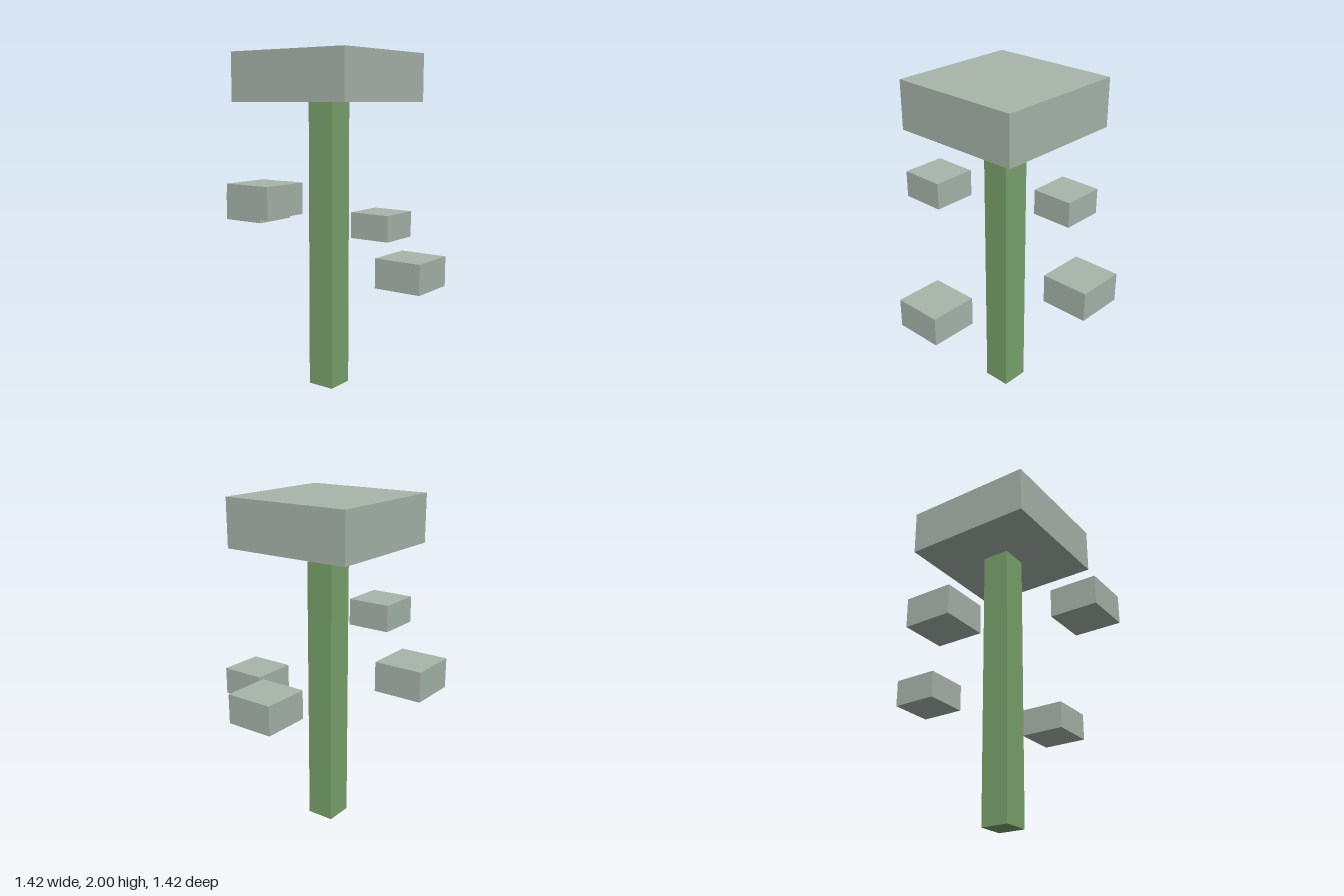
import * as THREE from 'three';

export function createModel() {
  const model = new THREE.Group();
  const green = new THREE.MeshStandardMaterial({ color: 0x7ba36d });
  const greyGreen = new THREE.MeshStandardMaterial({ color: 0xa8b5ab });

  // Box standing on height y, centred on x and z
  function addBox(name, material, width, height, x, y, z) {
    const mesh = new THREE.Mesh(new THREE.BoxGeometry(width, height, width), material);
    mesh.name = name;
    mesh.position.set(x, y + height / 2, z);
    model.add(mesh);
  }

  // Square trunk and the wide slab on top
  addBox('trunk', green, 0.17, 1.715, 0, 0, 0);
  addBox('crown', greyGreen, 0.8, 0.285, 0, 1.715, 0);

  // Floating leaf blocks, stepping up around the trunk
  const r = 0.57;
  const leaves = [
    ['leftLeaf', r, 0],
    ['backLeaf', 0, -r],
    ['rightLeaf', -r, 0],
    ['frontLeaf', 0, r],
  ];
  leaves.forEach(([name, x, z], i) => {
    addBox(name, greyGreen, 0.285, 0.171, x, 0.687 + i * 0.143, z);
  });

  return model;
}
